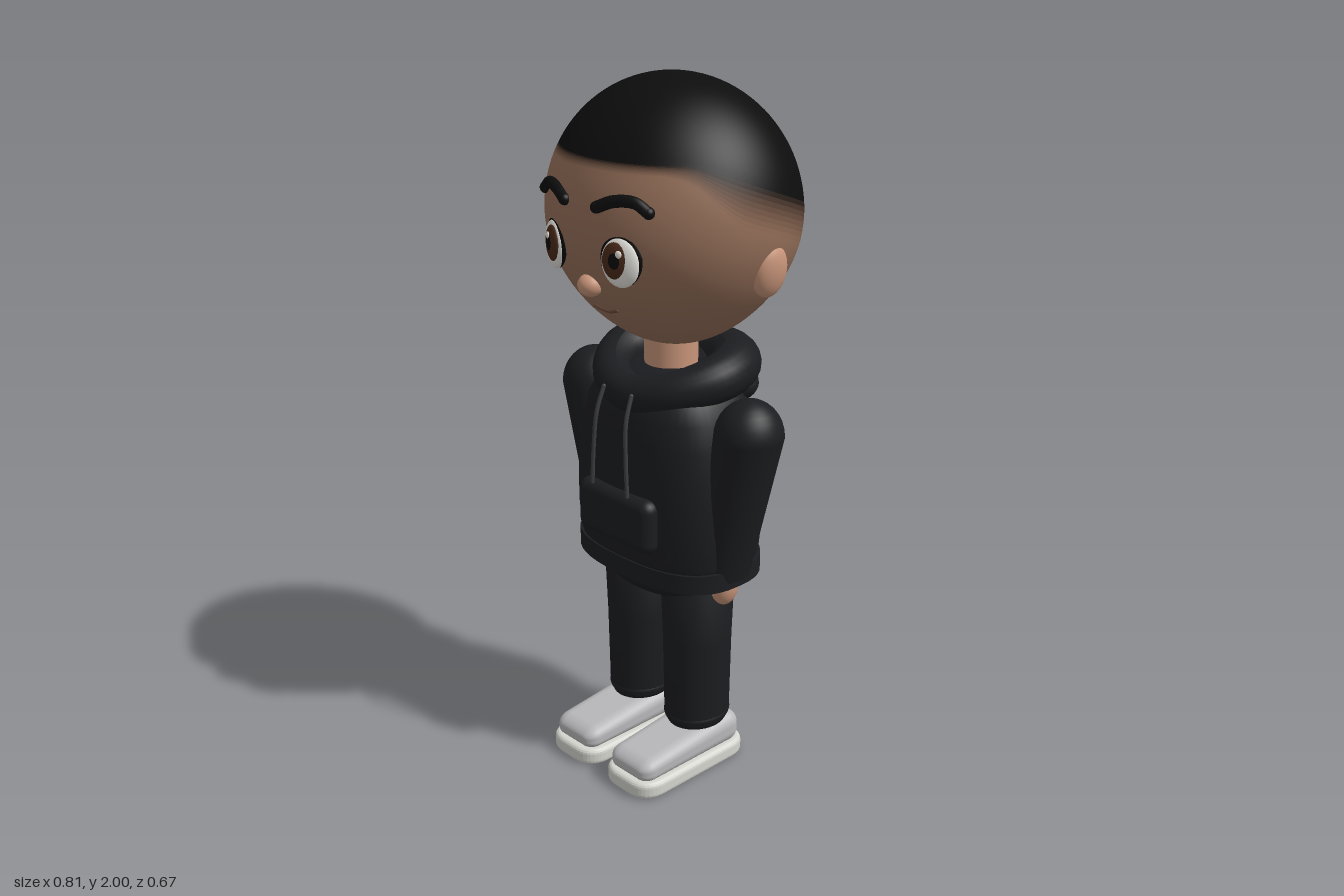
import * as THREE from 'three';
import { RoundedBoxGeometry } from 'three/addons/geometries/RoundedBoxGeometry.js';

const mat = (color) => new THREE.MeshStandardMaterial({ color });
const SKIN = 0x96705a, HAIR = 0x0e0d0d;
const skin = mat(SKIN), paleSkin = mat(0xc8957a), hair = mat(HAIR);
const cloth = mat(0x1c1d20), cord = mat(0x3c3d40);
const shoe = mat(0xb9b9bb), sole = mat(0xd6d6d0);
const white = mat(0xe6e4de), brown = mat(0x4a2a1a), black = mat(0x0a0808), lip = mat(0x6b4a3c);
const V = (x, y, z) => new THREE.Vector3(x, y, z);

function add(parent, name, geometry, material, x = 0, y = 0, z = 0) {
  const m = new THREE.Mesh(geometry, material);
  m.name = name;
  m.position.set(x, y, z);
  parent.add(m);
  return m;
}

function ellipsoid(parent, name, material, pos, radii) {
  const m = add(parent, name, new THREE.SphereGeometry(1, 32, 20), material, ...pos);
  m.scale.set(...radii);
  return m;
}

// Surface wrapped around y: fn(angle, row) gives each point, rows run upwards
function wrap(fn, rows, cols = 48) {
  const pos = [], idx = [];
  for (let i = 0; i <= rows; i++)
    for (let j = 0; j < cols; j++) pos.push(...fn((j / cols) * Math.PI * 2, i));
  for (let i = 0; i < rows; i++)
    for (let j = 0; j < cols; j++) {
      const a = i * cols + j, b = i * cols + ((j + 1) % cols), c = a + cols, d = b + cols;
      idx.push(a, c, b, b, c, d);
    }
  const g = new THREE.BufferGeometry();
  g.setAttribute('position', new THREE.Float32BufferAttribute(pos, 3));
  g.setIndex(idx);
  g.computeVertexNormals();
  return g;
}

// Superellipse sections [y, rx, rz, centreX, centreZ]; a repeated section makes a crease
function loft(sections, power = 2) {
  const f = (v) => Math.sign(v) * Math.abs(v) ** (2 / power);
  return wrap((a, i) => {
    const [y, rx, rz, cx = 0, cz = 0] = sections[i];
    return [cx + rx * f(Math.cos(a)), y, cz + rz * f(Math.sin(a))];
  }, sections.length - 1);
}

// Tube through points with rounded ends
function cordTube(parent, name, points, r, material) {
  const path = new THREE.CatmullRomCurve3(points);
  add(parent, name, new THREE.TubeGeometry(path, 20, r, 10), material);
  for (const p of [points[0], points[points.length - 1]])
    ellipsoid(parent, name + 'End', material, p.toArray(), [r, r, r]);
}

// Head surface: round skull narrowing to the chin
const MID = 1.64, UP = 0.36, DOWN = 0.37;
const lat = (y) => Math.asin(Math.max(-1, Math.min(1, (y - MID) / (y > MID ? UP : DOWN))));
function headPoint(a, th) {
  const t = Math.sin(th);
  const r = Math.cos(th) * (t < 0 ? 1 - 0.13 * t * t : 1);
  return [0.363 * r * Math.cos(a), MID + t * (t > 0 ? UP : DOWN), -0.008 + 0.331 * r * Math.sin(a)];
}
function faceZ(x, y) {
  const th = lat(y), r = headPoint(0, th)[0];
  return headPoint(Math.acos(x / r), th)[2];
}

function buildHead(parent) {
  const head = new THREE.Group();
  head.name = 'head';
  parent.add(head);

  // Hairline: level over the forehead, sloping down to the nape, softened by fade bands
  const hairline = (a) => 1.815 - 0.19 * Math.max(0, 0.6 - Math.sin(a)) / 1.6;
  const fade = (a) => 0.025 + 0.085 * THREE.MathUtils.smoothstep(0.8 - Math.sin(a), 0, 0.6);
  const strip = (name, lo, hi, rows, material) =>
    add(head, name, wrap((a, i) => headPoint(a, THREE.MathUtils.lerp(lo(a), hi(a), i / rows)), rows, 72), material);
  const BANDS = 8;
  const edge = (k) => (a) => lat(hairline(a) - fade(a) * (1 - k / BANDS));
  strip('face', () => -Math.PI / 2, edge(0), 36, skin);
  for (let k = 0; k < BANDS; k++) {
    const m = mat(SKIN);
    m.color.lerp(new THREE.Color(HAIR), (k + 0.5) / BANDS);
    strip('hairFade', edge(k), edge(k + 1), 2, m);
  }
  strip('hair', edge(BANDS), () => Math.PI / 2, 24, hair);

  for (const s of [-1, 1]) {
    const ear = ellipsoid(head, 'ear', paleSkin, [s * 0.335, 1.53, -0.03], [0.034, 0.073, 0.055]);
    ear.rotation.z = -s * 0.12;

    // Eye: layered flattened balls facing along the head surface
    const eye = new THREE.Group();
    eye.name = 'eye';
    eye.position.set(s * 0.128, 1.572, faceZ(0.128, 1.572));
    eye.rotation.y = s * 0.33;
    head.add(eye);
    ellipsoid(eye, 'lashRim', black, [0, 0.006, -0.002], [0.06, 0.071, 0.017]);
    ellipsoid(eye, 'eyeWhite', white, [0, 0, 0.002], [0.055, 0.066, 0.021]);
    ellipsoid(eye, 'iris', brown, [-s * 0.008, 0.004, 0.012], [0.04, 0.05, 0.014]);
    ellipsoid(eye, 'pupil', black, [-s * 0.008, 0.006, 0.019], [0.021, 0.027, 0.009]);
    ellipsoid(eye, 'glint', white, [0.006, 0.026, 0.025], [0.009, 0.01, 0.004]);

    const brow = [[0.2, 1.705], [0.165, 1.727], [0.11, 1.725], [0.062, 1.705]];
    cordTube(head, 'eyebrow', brow.map(([x, y]) => V(s * x, y, faceZ(x, y) + 0.004)), 0.016, hair);
  }
  ellipsoid(head, 'nose', paleSkin, [0, 1.485, 0.288], [0.035, 0.031, 0.034]);
  const mouth = [[-0.045, 1.41], [-0.015, 1.405], [0.015, 1.405], [0.048, 1.415]];
  cordTube(head, 'mouth', mouth.map(([x, y]) => V(x, y, faceZ(x, y))), 0.005, lip);
  add(parent, 'neck', new THREE.CylinderGeometry(0.075, 0.075, 0.16, 32), paleSkin, 0, 1.23, 0);
}

function buildHoodie(parent) {
  add(parent, 'torso', loft([
    [0.65, 0, 0, 0, 0.01], [0.65, 0.268, 0.183, 0, 0.01], [0.69, 0.28, 0.19, 0, 0.01],
    [0.76, 0.287, 0.194, 0, 0.01], [0.85, 0.286, 0.195, 0, 0.01], [0.94, 0.277, 0.194, 0, 0.01],
    [1.03, 0.26, 0.19, 0, 0.01], [1.1, 0.24, 0.18, 0, 0.01], [1.15, 0.212, 0.163, 0, 0.01],
    [1.19, 0.165, 0.13, 0, 0.01], [1.21, 0.1, 0.08, 0, 0.01], [1.215, 0, 0, 0, 0.01]], 2.6), cloth);

  const lower = [0.62, 0.287, 0.192, 0, 0.01], upper = [0.675, 0.287, 0.192, 0, 0.01];
  add(parent, 'hem', loft([[0.62, 0, 0, 0, 0.01], lower, lower, upper, upper, [0.675, 0, 0, 0, 0.01]], 2.6), cloth);
  add(parent, 'pocket', new RoundedBoxGeometry(0.295, 0.16, 0.07, 6, 0.034), cloth, 0, 0.805, 0.2);

  // Hood: closed roll, thicker and higher towards the back
  const path = new THREE.CatmullRomCurve3([
    V(0, 1.15, 0.15), V(0.125, 1.175, 0.105), V(0.185, 1.205, 0), V(0.14, 1.215, -0.11),
    V(0, 1.205, -0.16), V(-0.14, 1.215, -0.11), V(-0.185, 1.205, 0), V(-0.125, 1.175, 0.105)], true);
  const roll = new THREE.TubeGeometry(path, 64, 1, 20, true);
  const p = roll.attributes.position, v = V(0, 0, 0);
  for (let i = 0; i < p.count; i++) {
    const t = Math.floor(i / 21) / 64, c = path.getPointAt(t % 1);
    const r = 0.066 - 0.012 * Math.cos(t * Math.PI * 2);
    v.fromBufferAttribute(p, i).sub(c).multiplyScalar(r).add(c);
    p.setXYZ(i, v.x, v.y, v.z);
  }
  roll.computeVertexNormals();
  add(parent, 'hoodRoll', roll, cloth);
  ellipsoid(parent, 'hoodDrape', cloth, [0, 1.155, -0.115], [0.205, 0.085, 0.105]);

  for (const s of [-1, 1]) {
    cordTube(parent, 'drawstring',
      [V(s * 0.056, 1.17, 0.2), V(s * 0.06, 1.1, 0.224), V(s * 0.066, 1.0, 0.232), V(s * 0.072, 0.89, 0.234)],
      0.006, cord);

    // Sleeve: round shoulder tapering down and inwards to the wrist
    const sections = [[0.64, 0, 0, s * 0.215, 0.012], [0.64, 0.08, 0.083, s * 0.215, 0.012]];
    sections.push(sections[1], [0.85, 0.085, 0.09, s * 0.263, 0.011]);
    for (let i = 0; i <= 8; i++) {
      const a = (i / 8) * Math.PI / 2, c = Math.cos(a);
      sections.push([1.075 + 0.105 * Math.sin(a), 0.094 * c, 0.098 * c, s * 0.312, 0.01]);
    }
    add(parent, 'sleeve', loft(sections), cloth);
    ellipsoid(parent, 'hand', paleSkin, [s * 0.226, 0.605, 0.01], [0.04, 0.063, 0.043]);
  }
}

function buildLegs(parent) {
  ellipsoid(parent, 'hips', cloth, [0, 0.635, 0.01], [0.25, 0.115, 0.175]);
  // Rounded outline of the sole, drawn lying flat
  const w = 0.085, back = -0.1, front = 0.295, r = 0.06;
  const outline = new THREE.Shape();
  outline.moveTo(-w + r, back).lineTo(w - r, back).quadraticCurveTo(w, back, w, back + r)
    .lineTo(w, front - r).quadraticCurveTo(w, front, w - r, front)
    .lineTo(-w + r, front).quadraticCurveTo(-w, front, -w, front - r)
    .lineTo(-w, back + r).quadraticCurveTo(-w, back, -w + r, back);
  const soleShape = new THREE.ExtrudeGeometry(outline,
    { depth: 0.022, bevelSize: 0.015, bevelThickness: 0.015, bevelSegments: 4, curveSegments: 10 });
  soleShape.rotateX(Math.PI / 2);

  // Shoe upper: rounded block, lower and narrower towards the toe
  const upper = new RoundedBoxGeometry(0.18, 0.1, 0.385, 8, 0.04);
  const p = upper.attributes.position;
  for (let i = 0; i < p.count; i++) {
    const z = p.getZ(i), k = THREE.MathUtils.clamp((z + 0.05) / 0.24, 0, 1);
    p.setY(i, (p.getY(i) + 0.05) * (1 - 0.38 * k));
    p.setX(i, p.getX(i) * (1 - 0.08 * k));
  }
  upper.computeVertexNormals();

  for (const s of [-1, 1]) {
    const x = s * 0.12;
    add(parent, 'trouserLeg', loft([
      [0.13, 0, 0, x, 0.01], [0.13, 0.08, 0.09, x, 0.01], [0.15, 0.09, 0.1, x, 0.01],
      [0.4, 0.096, 0.103, x, 0.01], [0.6, 0.103, 0.11, x, 0.01], [0.62, 0, 0, x, 0.01]]), cloth);
    const cuff = add(parent, 'cuff', new THREE.TorusGeometry(0.08, 0.02, 12, 36), cloth, x, 0.158, 0.01);
    cuff.rotation.x = Math.PI / 2;
    cuff.scale.set(0.92, 1.02, 1);
    ellipsoid(parent, 'ankle', cloth, [x, 0.14, 0.005], [0.07, 0.045, 0.07]);
    add(parent, 'shoeUpper', upper, shoe, x, 0.042, 0.1);
    add(parent, 'shoeSole', soleShape, sole, x, 0.037, 0);
  }
}

export function createModel() {
  const model = new THREE.Group();
  model.name = 'hoodedFigure';
  buildHead(model);
  buildHoodie(model);
  buildLegs(model);
  return model;
}
